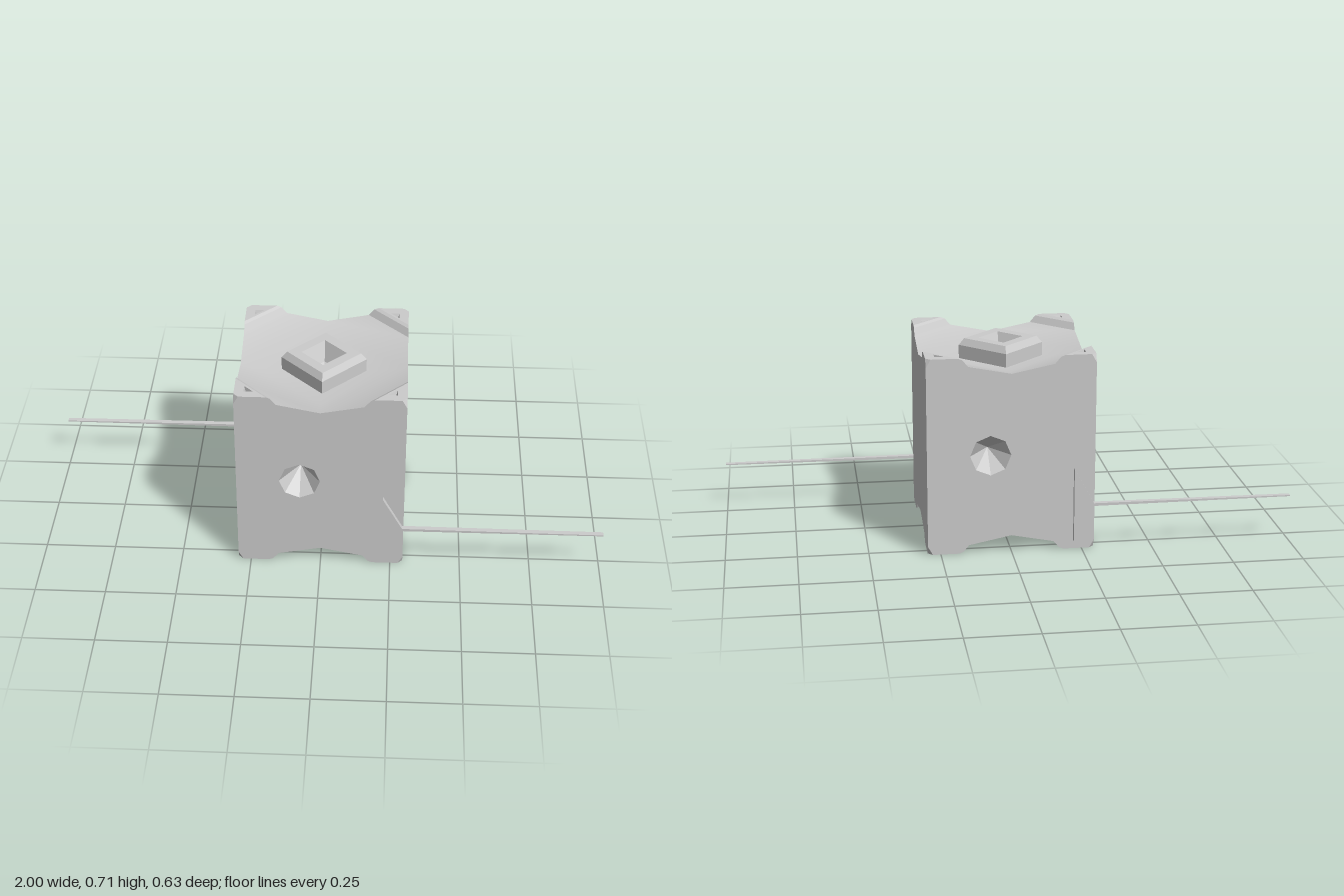
import * as THREE from 'three';
import { mergeGeometries, toCreasedNormals } from 'three/addons/utils/BufferGeometryUtils.js';

const H = 0.71, R = 0.295;
const material = new THREE.MeshStandardMaterial({ color: 0xcccccc, side: THREE.DoubleSide });

// Half of a wall's top edge: [distance from the middle, height]
const EDGE = [[0, 0.65], [0.15, 0.68], [0.17, 0.704], [0.185, H], [0.278, H], [R, 0.68]];

function add(parent, name, geometry) {
  const mesh = new THREE.Mesh(geometry, material);
  mesh.name = name;
  parent.add(mesh);
  return mesh;
}

// Joins rings of points, skipping quads where skip(i, k) says so
function loft(rings, crease = 0.5, skip = () => false) {
  const out = [];
  const tri = (a, b, c) => {
    const n = b.clone().sub(a).cross(c.clone().sub(a));
    if (n.length() > 1e-9) for (const p of [a, b, c]) out.push(p.x, p.y, p.z);
  };
  for (let k = 0; k + 1 < rings.length; k++) {
    const a = rings[k], b = rings[k + 1], n = a.length;
    for (let i = 0; i < n; i++) {
      if (skip(i, k)) continue;
      const j = (i + 1) % n;
      tri(a[i], a[j], b[j]);
      tri(a[i], b[j], b[i]);
    }
  }
  const geometry = new THREE.BufferGeometry();
  geometry.setAttribute('position', new THREE.Float32BufferAttribute(out, 3));
  geometry.computeVertexNormals();
  return toCreasedNormals(geometry, crease);
}

// Diamond |x| + |z| = s at height y, clipped to the square plan
function clippedDiamond([s, y]) {
  const a = Math.min(s, R), b = s - a;
  return [[a, b], [b, a], [-b, a], [-a, b], [-a, -b], [-b, -a], [b, -a], [a, -b]]
    .map(([x, z]) => new THREE.Vector3(x, y, -z));
}

function capSurface(levels) {
  // Edges lying in the wall planes stay open
  return loft(levels.map(clippedDiamond), 0.5,
    (i, k) => i % 2 === 1 && levels[k + 1][0] >= R - 1e-6);
}

// Flat top of one corner foot with a small triangular dent
function footTop() {
  const p = EDGE[3][0], q = EDGE[4][0];
  const shape = new THREE.Shape([[R, p], [R, q], [q, R], [p, R]].map(v => new THREE.Vector2(...v)));
  const dent = [[0.262, 0.23], [0.262, 0.262], [0.23, 0.262]].map(v => new THREE.Vector2(...v));
  shape.holes.push(new THREE.Path(dent));
  const top = new THREE.ShapeGeometry(shape);
  top.deleteAttribute('uv');
  const ring = dent.map(v => new THREE.Vector3(v.x, v.y, 0));
  const apex = dent.map(() => new THREE.Vector3(0.251, 0.251, -0.03));
  return mergeGeometries([top.toNonIndexed(), loft([ring, apex])]).rotateX(-Math.PI / 2).translate(0, H, 0);
}

// Bowl, corner feet and socketed diamond block
function createCap() {
  const cap = new THREE.Group();
  const levels = EDGE.map(([t, y]) => [t + R, y]).reverse();
  add(cap, 'footBevels', capSurface(levels.slice(0, 2)));
  add(cap, 'bowl', capSurface([...levels.slice(2), [0.22, 0.635], [0.12, 0.63]]));
  add(cap, 'diamondBlock', loft(
    [[0.15, 0.63], [0.15, 0.68], [0.13, 0.704], [0.08, 0.704], [0.04, 0.64], [0, 0.625]].map(clippedDiamond), 0.1));
  const top = footTop();
  for (let i = 0; i < 4; i++) add(cap, 'footTop', top).rotation.y = i * Math.PI / 2;
  return cap;
}

// Side wall outline, optionally with an eight-sided opening
function wallGeometry(hole) {
  const upper = EDGE.slice(1).reverse().map(([t, y]) => [t, y])
    .concat(EDGE.map(([t, y]) => [-t, y]));
  const lower = upper.map(([t, y]) => [-t, H - y]);
  const shape = new THREE.Shape([...upper, ...lower].map(v => new THREE.Vector2(...v)));
  if (hole) shape.holes.push(new THREE.Path(hole));
  return new THREE.ShapeGeometry(shape).translate(0, 0, R);
}

// Half of the model: the other half is the same turned by 180 degrees
function createHalf() {
  const half = new THREE.Group();

  // Front wall with its conical dent
  const hole = Array.from({ length: 8 }, (_, i) => new THREE.Vector2(
    -0.073 + 0.072 * Math.cos(i * Math.PI / 4), 0.358 + 0.072 * Math.sin(i * Math.PI / 4)));
  add(half, 'dentedWall', wallGeometry(hole));
  add(half, 'conicalDent', loft([
    hole.map(v => new THREE.Vector3(v.x, v.y, R)),
    hole.map(() => new THREE.Vector3(-0.073, 0.358, R - 0.1))]));

  add(half, 'plainWall', wallGeometry()).rotation.y = Math.PI / 2;

  // Thin fin drawn out into a long needle
  const fin = new THREE.Shape([[0.22, 0.032], [0.29, 0.162], [1, 0.165], [1, 0.169], [0.29, 0.172], [0.22, 0.3]]
    .map(v => new THREE.Vector2(...v)));
  add(half, 'finNeedle', new THREE.ExtrudeGeometry(fin, { depth: 0.018, bevelEnabled: false }).translate(0, 0, R));
  return half;
}

export function createModel() {
  const model = new THREE.Group();
  model.name = 'finnedBlock';
  for (let i = 0; i < 2; i++) {
    const half = createHalf();
    half.name = i ? 'backHalf' : 'frontHalf';
    half.rotation.y = i * Math.PI;
    model.add(half);

    const cap = createCap();
    cap.name = i ? 'bottomCap' : 'topCap';
    cap.rotation.x = i * Math.PI;
    cap.position.y = i * H;
    model.add(cap);
  }
  return model;
}
